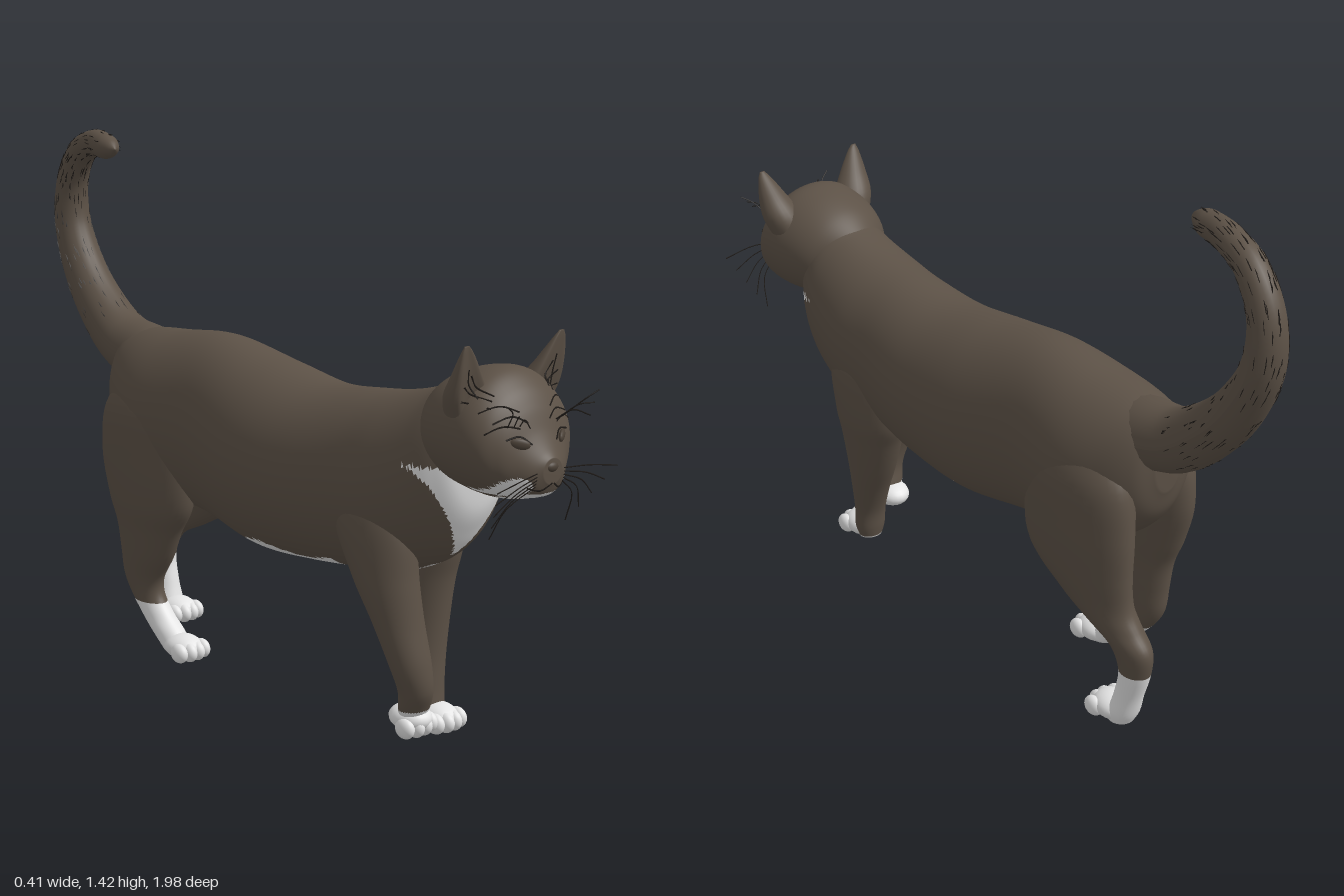
import * as THREE from 'three';
import { mergeGeometries } from 'three/addons/utils/BufferGeometryUtils.js';

const material = (name, color, side = THREE.FrontSide) =>
  Object.assign(new THREE.MeshStandardMaterial({ color, side }), { name });

// Smooth closed loft through rings [cx, cy, cz, r1, r2]. Axis 'z' rings run back to front
// (r1 = x, r2 = y); axis 'y' rings run top to bottom (r1 = x, r2 = z).
// paint(x, y, z) picks the material index, shape(c, s) reshapes the unit section.
function loft(name, axis, rings, mats, paint = () => 0, segs = 40, sides = 32, shape = (c, s) => [c, s]) {
  const spline = (f) => new THREE.CatmullRomCurve3(rings.map(f), false, 'catmullrom', 0.5);
  const centre = spline((r) => new THREE.Vector3(r[0], r[1], r[2]));
  const radius = spline((r) => new THREE.Vector3(r[3], r[4], 0));
  const pos = [];
  for (let i = -1; i <= segs + 1; i++) {
    const t = Math.min(Math.max(i / segs, 0), 1);
    const p = centre.getPoint(t), r = radius.getPoint(t);
    const k = i < 0 || i > segs ? 0.001 : 1; // closed ends
    for (let j = 0; j < sides; j++) {
      const a = (j / sides) * Math.PI * 2;
      const [c, s] = shape(Math.cos(a), Math.sin(a));
      const u = c * r.x * k, v = s * r.y * k;
      if (axis === 'z') pos.push(p.x + u, p.y + v, p.z);
      else pos.push(p.x + u, Math.max(p.y, 0), p.z + v);
    }
  }
  const lists = mats.map(() => []);
  const mid = (tri, o) => (pos[tri[0] * 3 + o] + pos[tri[1] * 3 + o] + pos[tri[2] * 3 + o]) / 3;
  for (let i = 0; i < segs + 2; i++) {
    for (let j = 0; j < sides; j++) {
      const a = i * sides + j, b = i * sides + ((j + 1) % sides);
      for (const tri of [[a, b, b + sides], [a, b + sides, a + sides]]) {
        lists[paint(mid(tri, 0), mid(tri, 1), mid(tri, 2))].push(...tri);
      }
    }
  }
  const geo = new THREE.BufferGeometry();
  geo.setAttribute('position', new THREE.Float32BufferAttribute(pos, 3));
  geo.setIndex(lists.flat());
  let start = 0;
  lists.forEach((l, m) => { geo.addGroup(start, l.length, m); start += l.length; });
  geo.computeVertexNormals();
  const mesh = new THREE.Mesh(geo, mats.length > 1 ? mats : mats[0]);
  mesh.name = name;
  return mesh;
}

const ball = (x, y, z, rx, ry, rz) =>
  new THREE.SphereGeometry(1, 20, 14).scale(rx, ry, rz).translate(x, y, z);

// Thin strand along points
const strand = (pts, r = 0.0016) =>
  new THREE.TubeGeometry(new THREE.CatmullRomCurve3(pts), 8, r, 4);

export function createModel() {
  const cat = new THREE.Group();
  cat.name = 'cat';
  const fur = material('brown fur', 0x5c5146);
  const white = material('white fur', 0xe4e4e4);
  const dark = material('dark hair', 0x1f1b18, THREE.DoubleSide);
  const shade = material('eye brown', 0x4b4137);
  const add = (name, geos, mat) => {
    const mesh = new THREE.Mesh(mergeGeometries(geos), mat);
    mesh.name = name;
    cat.add(mesh);
  };

  // Body sections: z, top, bottom, half width
  const section = ([z, top, bottom, w]) => [0, (top + bottom) / 2, z, w, (top - bottom) / 2];
  const body = [
    [-0.645, 0.8, 0.66, 0.04], [-0.62, 0.86, 0.58, 0.1], [-0.55, 0.878, 0.5, 0.15],
    [-0.42, 0.89, 0.43, 0.187], [-0.22, 0.907, 0.405, 0.178], [0, 0.872, 0.368, 0.205],
    [0.2, 0.845, 0.378, 0.2], [0.38, 0.86, 0.4, 0.182], [0.5, 0.878, 0.42, 0.182],
    [0.6, 0.905, 0.46, 0.168], [0.66, 0.93, 0.505, 0.152], [0.7, 0.94, 0.56, 0.13],
    [0.73, 0.92, 0.62, 0.1], [0.745, 0.86, 0.7, 0.05]].map(section);
  cat.add(loft('body', 'z', body, [fur, white], (x, y, z) => {
    const bib = z > 0.55 && y < 0.74 && Math.abs(x) < 0.125 * (y - 0.485) / 0.2;
    const spot = z > 0.42 && y < 0.46 && Math.abs(x) < 0.02;
    const belly = z > -0.27 && z < 0.31 && y < 0.412 + 0.01 * Math.sin(z * 25) && Math.abs(x) < 0.13;
    return bib || spot || belly ? 1 : 0;
  }, 120, 80));

  // Head with muzzle, pale chin and cheeks
  const head = loft('head', 'z', [
    [0.6, 0.9, 0.76, 0.07], [0.67, 0.95, 0.705, 0.135], [0.75, 0.98, 0.685, 0.163],
    [0.82, 0.985, 0.678, 0.167], [0.872, 0.95, 0.682, 0.152], [0.905, 0.905, 0.69, 0.12],
    [0.93, 0.85, 0.697, 0.085], [0.952, 0.812, 0.708, 0.056], [0.966, 0.795, 0.735, 0.03]].map(section),
  [fur, white], (x, y, z) => {
    const cheek = Math.hypot((Math.abs(x) - 0.08) / 0.032, (y - 0.728) / 0.026) < 1 && z > 0.8;
    const chin = y < 0.712 && z > 0.85 && Math.abs(x) < 0.07;
    return cheek || chin ? 1 : 0;
  }, 70, 64);
  cat.add(head);

  // Ears, hollowed at the front
  const ears = [-1, 1].map((s) => loft(s > 0 ? 'leftEar' : 'rightEar', 'y', [
    [0.156, 1.056, 0.838, 0.007, 0.005], [0.151, 1.035, 0.834, 0.02, 0.014],
    [0.138, 0.985, 0.822, 0.04, 0.034], [0.122, 0.93, 0.805, 0.055, 0.055],
    [0.108, 0.87, 0.79, 0.045, 0.055]].map((r) => [r[0] * s, ...r.slice(1)]),
  [fur], undefined, 20, 24, (c, v) => [c, v > 0 ? v * (0.25 + 0.5 * c * c) : v]));
  cat.add(...ears);

  // Face details laid on the head surface
  const ray = new THREE.Raycaster();
  const onFace = (x, y) => {
    ray.set(new THREE.Vector3(x, y, 2), new THREE.Vector3(0, 0, -1));
    const hit = ray.intersectObjects([head, ...ears])[0];
    return new THREE.Vector3(x, y, hit ? hit.point.z + 0.001 : 0.84);
  };
  const eyes = [], lines = [], whiskers = [];
  const strokes = [
    [[0.04, 0.828], [0.065, 0.848], [0.1, 0.842]], [[0.035, 0.875], [0.07, 0.892], [0.12, 0.878]],
    [[0.05, 0.9], [0.09, 0.915], [0.135, 0.9]], [[0.06, 0.865], [0.1, 0.872], [0.14, 0.855]],
    [[0.002, 0.738], [0.03, 0.722], [0.06, 0.73]], [[0.09, 0.935], [0.115, 0.955], [0.135, 0.985]],
    [[0.1, 0.925], [0.13, 0.94], [0.155, 0.96]], [[0.11, 0.91], [0.14, 0.92], [0.16, 0.925]],
    [[0.12, 0.93], [0.14, 0.965], [0.145, 1.0]]];
  for (const s of [-1, 1]) {
    const e = onFace(0.07 * s, 0.832);
    eyes.push(new THREE.SphereGeometry(1, 16, 10).scale(0.026, 0.013, 0.007)
      .rotateZ(0.2 * s).rotateY(0.6 * s).translate(e.x, e.y, e.z));
    for (const st of strokes) lines.push(strand(st.map(([x, y]) => onFace(x * s, y)), 0.0022));
    for (let i = 0; i < 5; i++) {
      const root = onFace(0.045 * s, 0.765 - i * 0.008);
      const z = root.z;
      whiskers.push(strand([root, new THREE.Vector3(0.11 * s, 0.765 - i * 0.02, z + 0.02 - i * 0.012),
        new THREE.Vector3((0.2 - i * 0.018) * s, 0.75 - i * 0.035, z + 0.025 - i * 0.022)]));
    }
    for (let i = 0; i < 3; i++) {
      const root = onFace((0.06 + i * 0.015) * s, 0.87);
      whiskers.push(strand([root, new THREE.Vector3((0.08 + i * 0.02) * s, 0.895 + i * 0.01, 0.95),
        new THREE.Vector3((0.1 + i * 0.025) * s, 0.885 + i * 0.025, 0.985 - i * 0.01)]));
    }
  }
  add('eyes', eyes, shade);
  add('browAndEarHair', lines, dark);
  add('whiskers', whiskers, dark);
  add('nose', [ball(0, 0.775, 0.96, 0.02, 0.013, 0.012)], shade);

  // Legs, top to bottom: x, y, z, half width, half depth
  const leg = (name, rings, whiteTop) =>
    cat.add(loft(name, 'y', rings, [fur, white], (x, y, z) => (y < whiteTop ? 1 : 0), 60, 36));
  leg('frontLeftLeg', [
    [0.1, 0.68, 0.44, 0.05, 0.08], [0.105, 0.58, 0.44, 0.078, 0.13], [0.105, 0.46, 0.43, 0.08, 0.125],
    [0.1, 0.38, 0.435, 0.073, 0.102], [0.092, 0.28, 0.45, 0.063, 0.078], [0.082, 0.18, 0.473, 0.054, 0.052],
    [0.073, 0.1, 0.492, 0.047, 0.038], [0.07, 0.04, 0.5, 0.045, 0.036], [0.07, 0.008, 0.5, 0.035, 0.03]], 0.012);
  leg('frontRightLeg', [
    [-0.1, 0.68, 0.46, 0.05, 0.08], [-0.105, 0.56, 0.48, 0.078, 0.12], [-0.108, 0.43, 0.525, 0.076, 0.09],
    [-0.1, 0.32, 0.565, 0.066, 0.062], [-0.087, 0.22, 0.594, 0.056, 0.05], [-0.073, 0.15, 0.6, 0.046, 0.043],
    [-0.062, 0.1, 0.585, 0.044, 0.036], [-0.057, 0.07, 0.572, 0.035, 0.03]], 0.095);
  leg('hindLeftLeg', [
    [0.09, 0.78, -0.44, 0.05, 0.1], [0.105, 0.68, -0.445, 0.085, 0.17], [0.112, 0.55, -0.45, 0.084, 0.185],
    [0.115, 0.43, -0.46, 0.075, 0.178], [0.113, 0.35, -0.515, 0.062, 0.13], [0.11, 0.3, -0.575, 0.053, 0.1],
    [0.107, 0.25, -0.645, 0.044, 0.068], [0.103, 0.18, -0.66, 0.038, 0.046], [0.1, 0.1, -0.64, 0.037, 0.04],
    [0.098, 0.04, -0.622, 0.042, 0.04], [0.098, 0.006, -0.61, 0.035, 0.035]], 0.18);
  leg('hindRightLeg', [
    [-0.09, 0.78, -0.42, 0.05, 0.1], [-0.105, 0.68, -0.43, 0.085, 0.17], [-0.112, 0.55, -0.43, 0.084, 0.185],
    [-0.115, 0.43, -0.42, 0.075, 0.165], [-0.113, 0.35, -0.43, 0.062, 0.125], [-0.11, 0.27, -0.445, 0.053, 0.1],
    [-0.107, 0.2, -0.465, 0.044, 0.073], [-0.104, 0.15, -0.453, 0.039, 0.06], [-0.102, 0.1, -0.412, 0.038, 0.058],
    [-0.1, 0.06, -0.368, 0.04, 0.058], [-0.1, 0.015, -0.32, 0.038, 0.045]], 0.135);

  // Paws with four toes, flattened on the ground
  const paw = (name, x, y, z, drop = 0) => {
    const parts = [ball(x, y, z, 0.05, 0.034, 0.06)];
    for (let i = -1.5; i <= 1.5; i++) {
      parts.push(ball(x + i * 0.026, y - 0.006 - drop, z + 0.045 - Math.abs(i) * 0.009 - drop, 0.019, 0.027, 0.03));
    }
    for (const g of parts) {
      const p = g.attributes.position;
      for (let i = 0; i < p.count; i++) p.setY(i, Math.max(p.getY(i), 0));
    }
    add(name, parts, white);
  };
  paw('frontLeftPaw', 0.07, 0.03, 0.533);
  paw('frontRightPaw', -0.055, 0.066, 0.565, 0.01);
  paw('hindLeftPaw', 0.098, 0.03, -0.58);
  paw('hindRightPaw', -0.1, 0.03, -0.298);

  // Tail: a tube tapered along its length
  const path = new THREE.CatmullRomCurve3([
    [0, 0.79, -0.56], [0, 0.82, -0.68], [0, 0.895, -0.785], [0, 1.0, -0.875], [0.002, 1.13, -0.935],
    [-0.002, 1.25, -0.928], [-0.012, 1.34, -0.865], [-0.03, 1.375, -0.77], [-0.052, 1.373, -0.69],
    [-0.066, 1.37, -0.627]].map((p) => new THREE.Vector3(...p)));
  const width = (t) => (0.042 + 0.05 * Math.pow(1 - t, 1.7) - 0.008 * t) * Math.sqrt(Math.min(1, (1 - t) * 18));
  const segs = 80, sides = 20;
  const tail = new THREE.TubeGeometry(path, segs, 1, sides);
  const tp = tail.attributes.position, v = new THREE.Vector3();
  for (let i = 0; i <= segs; i++) {
    const c = path.getPointAt(i / segs);
    for (let j = 0; j <= sides; j++) {
      const n = i * (sides + 1) + j;
      v.fromBufferAttribute(tp, n).sub(c).multiplyScalar(width(i / segs)).add(c);
      tp.setXYZ(n, v.x, v.y, v.z);
    }
  }
  tail.computeVertexNormals();
  add('tail', [tail], fur);

  // Ruffled tail hair
  let seed = 7;
  const rand = () => (seed = (seed * 16807) % 2147483647) / 2147483647;
  const tufts = [], up = new THREE.Vector3(0, 1, 0);
  for (let i = 0; i < 260; i++) {
    const t = 0.15 + 0.8 * rand(), a = rand() * Math.PI * 2;
    const c = path.getPointAt(t), dir = path.getTangentAt(t);
    const side = new THREE.Vector3(1, 0, 0).addScaledVector(dir, -dir.x).normalize();
    const out = side.applyAxisAngle(dir, a);
    const q = new THREE.Quaternion().setFromUnitVectors(up, dir.clone().addScaledVector(out, 0.12).normalize());
    c.addScaledVector(out, width(t) * 0.98);
    tufts.push(new THREE.ConeGeometry(0.0045, 0.035, 3).applyQuaternion(q).translate(c.x, c.y, c.z));
  }
  add('tailHair', tufts, dark);
  return cat;
}
